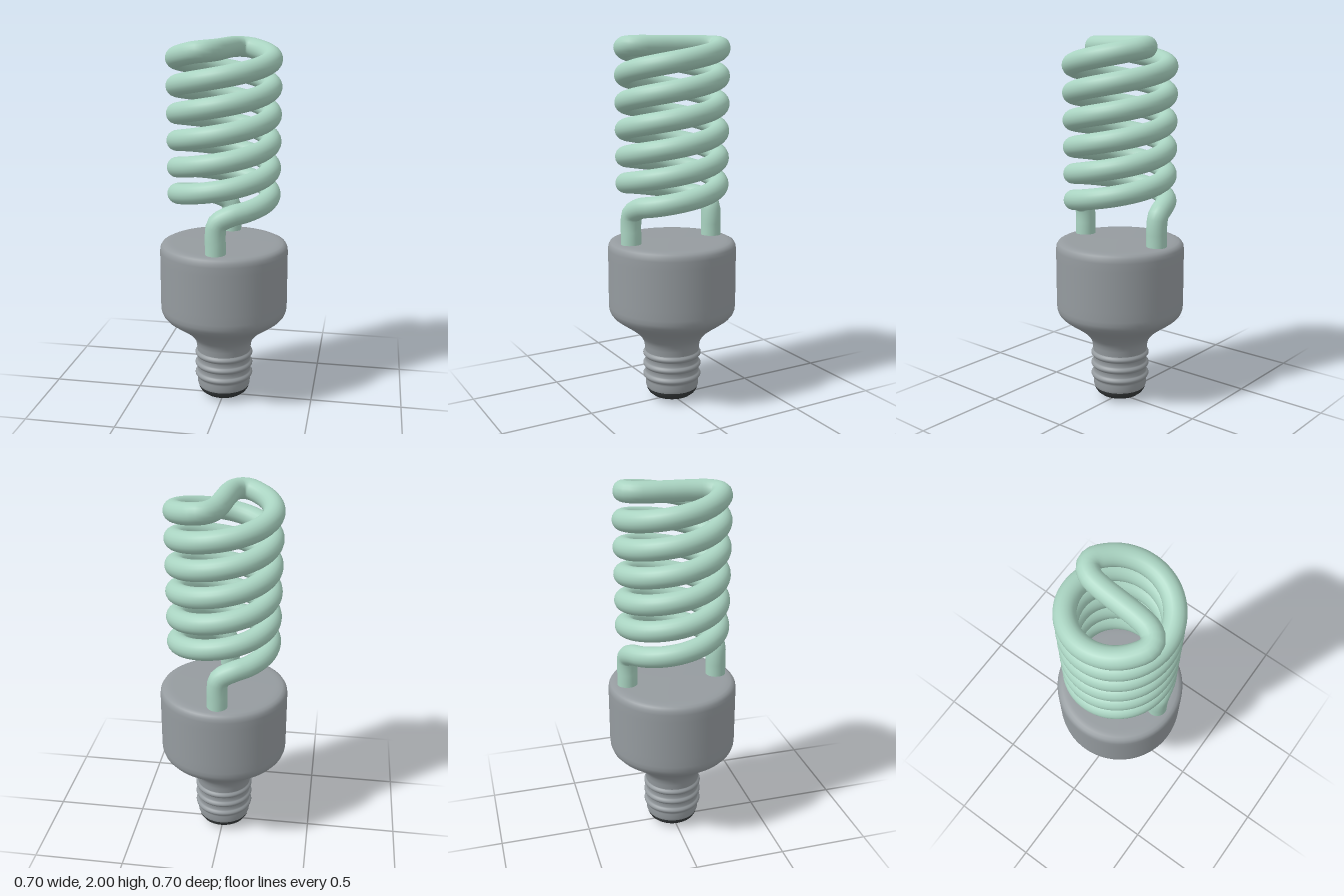
import * as THREE from 'three';

const green = new THREE.MeshStandardMaterial({ color: 0xa9d3c1 });
green.name = 'paleGreenGlass';
const grey = new THREE.MeshStandardMaterial({ color: 0x959b9f });
grey.name = 'greyHousing';
const dark = new THREE.MeshStandardMaterial({ color: 0x363a3b });
dark.name = 'darkContact';

const R = 0.25;          // coil radius
const TUBE = 0.055;      // glass tube radius
const RISE = 0.143;      // height gained per half turn

function lathe(name, points, material) {
  const profile = points.map(([r, y]) => new THREE.Vector2(r, y));
  const mesh = new THREE.Mesh(new THREE.LatheGeometry(profile, 64), material);
  mesh.name = name;
  return mesh;
}

// One strand: a straight leg, then a rising coil up to the bridge.
function strand() {
  const pts = [[0, 0.88, R], [0, 0.95, R], [0, 1.02, R], [0.012, 1.075, R]]
    .map((p) => new THREE.Vector3(...p));
  for (let deg = 20; deg <= 1055; deg += 15) {
    const a = THREE.MathUtils.degToRad(deg);
    pts.push(new THREE.Vector3(R * Math.sin(a), 1.1 + RISE * deg / 180, R * Math.cos(a)));
  }
  // Turn inwards towards the middle of the top bridge
  pts.push(
    new THREE.Vector3(-0.06, 1.943, 0.222),
    new THREE.Vector3(-0.026, 1.945, 0.18),
    new THREE.Vector3(-0.01, 1.945, 0.11),
  );
  return pts;
}

// Two strands, half a turn apart, joined across the top
function spiralTube() {
  const first = strand();
  const second = first.map((p) => new THREE.Vector3(-p.x, p.y, -p.z)).reverse();
  const path = new THREE.CatmullRomCurve3(
    [...first, new THREE.Vector3(0, 1.945, 0), ...second], false, 'centripetal');
  path.arcLengthDivisions = 3000;
  const mesh = new THREE.Mesh(new THREE.TubeGeometry(path, 420, TUBE, 20, false), green);
  mesh.name = 'spiralTube';
  return mesh;
}

export function createModel() {
  const model = new THREE.Group();
  model.name = 'spiralLightBulb';

  model.add(spiralTube());

  // Ballast housing with rounded shoulders and flared neck
  model.add(lathe('housing', [
    [0.15, 0.28], [0.153, 0.31], [0.158, 0.335], [0.172, 0.36], [0.2, 0.392],
    [0.245, 0.427], [0.29, 0.458], [0.322, 0.482], [0.34, 0.503], [0.348, 0.525],
    [0.35, 0.55], [0.35, 0.6], [0.35, 0.82], [0.35, 0.865], [0.347, 0.885],
    [0.338, 0.9], [0.322, 0.908], [0.3, 0.91], [0.28, 0.911], [0, 0.913],
  ], grey));

  // Screw base with three raised threads
  const screw = [[0.143, 0.065], [0.148, 0.08], [0.148, 0.11]];
  for (const y of [0.138, 0.2, 0.262]) {
    for (let i = 0; i <= 8; i++) {
      const t = i / 8;
      screw.push([0.148 + 0.014 * Math.sin(Math.PI * t), y + 0.04 * (t - 0.5)]);
    }
  }
  screw.push([0.15, 0.3]);
  model.add(lathe('screwBase', screw, grey));

  // Domed contact at the bottom
  model.add(lathe('contact', [
    [0, 0], [0.04, 0.002], [0.08, 0.009], [0.11, 0.021],
    [0.13, 0.037], [0.14, 0.053], [0.143, 0.066],
  ], dark));

  return model;
}
